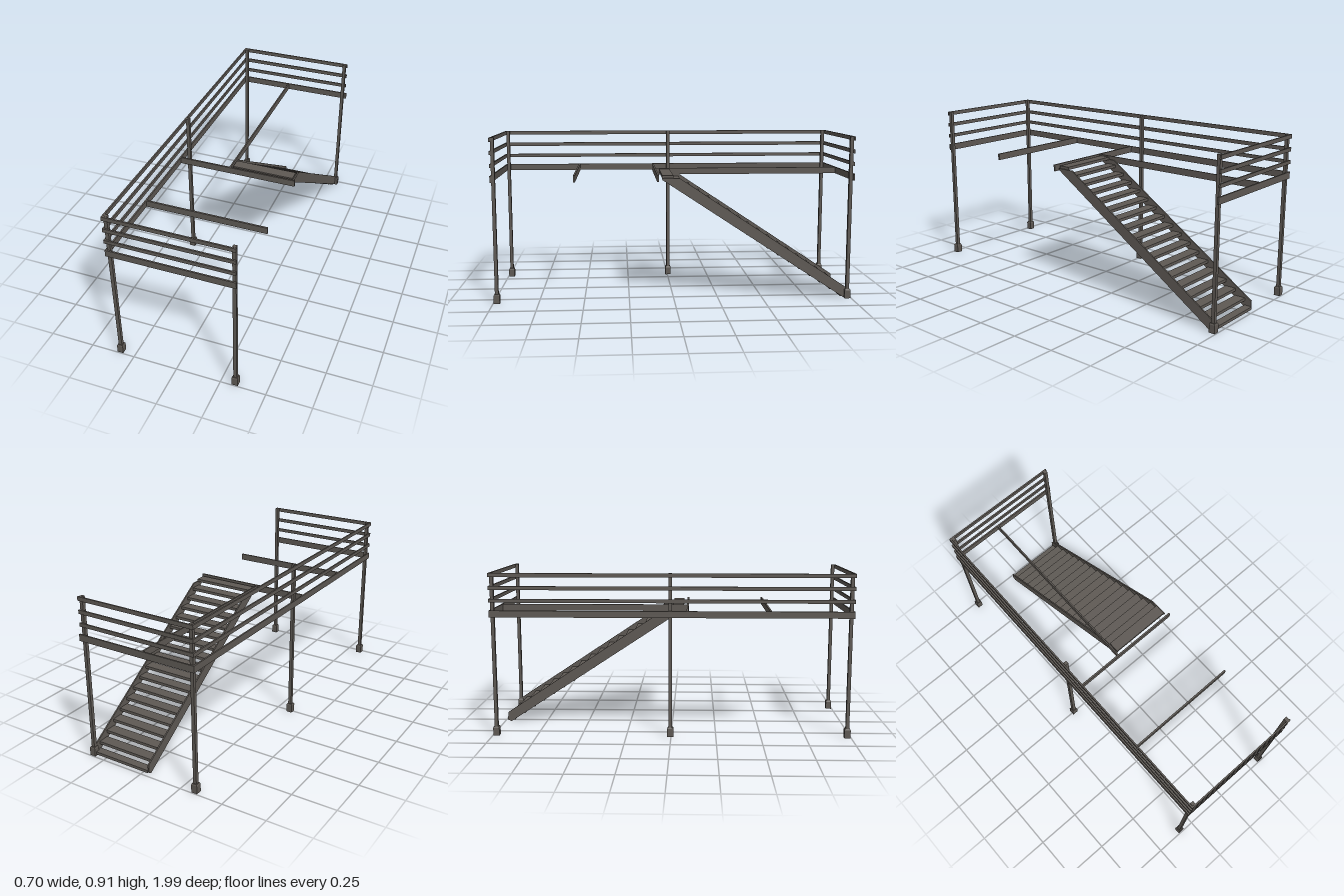
import * as THREE from 'three';

export function createModel() {
  const model = new THREE.Group();
  const steel = new THREE.MeshStandardMaterial({ color: 0x5e5954 });
  steel.name = 'weathered steel';

  const add = (name, geometry, parent = model) => {
    const mesh = new THREE.Mesh(geometry, steel);
    mesh.name = name;
    parent.add(mesh);
    return mesh;
  };
  // Box given by its lower and upper limits on each axis
  const bar = (name, x0, x1, y0, y1, z0, z1, parent) =>
    add(name, new THREE.BoxGeometry(x1 - x0, y1 - y0, z1 - z0), parent)
      .position.set((x0 + x1) / 2, (y0 + y1) / 2, (z0 + z1) / 2);

  // Posts on square feet with a chamfered top
  const posts = [[-0.333, 0.979], [-0.333, -0.004], [-0.333, -0.979], [0.328, 0.979], [0.328, -0.979]];
  for (const [x, z] of posts) {
    const post = new THREE.Group();
    post.name = 'post';
    post.position.set(x, 0, z);
    model.add(post);
    bar('postShaft', -0.0095, 0.0095, 0.045, 0.912, -0.0095, 0.0095, post);
    bar('postFoot', -0.017, 0.017, 0, 0.045, -0.017, 0.017, post);
    const cap = new THREE.CylinderGeometry(0.0135 * Math.SQRT2, 0.017 * Math.SQRT2, 0.007, 4).rotateY(Math.PI / 4).toNonIndexed();
    cap.computeVertexNormals();
    add('footCap', cap, post).position.y = 0.0485;
  }

  // Guard rails and floor beams around three sides
  const levels = [[0.669, 0.706, 'edgeBeam'], [0.75, 0.77, 'lowerRail'], [0.819, 0.84, 'middleRail'], [0.889, 0.911, 'topRail']];
  for (const [y0, y1, name] of levels) {
    const right = 0.341;
    bar(name + 'Side', -0.352, -0.3435, y0, y1, -0.997, 0.997);
    bar(name + 'Front', -0.3435, right, y0, y1, 0.9885, 0.997);
    bar(name + 'Back', -0.3435, name === 'edgeBeam' ? 0.352 : right + 0.003, y0, y1, -0.997, -0.9885);
  }

  // Inner floor beams
  for (const z of [0.09, 0.545]) bar('crossBeam', -0.3435, 0.341, 0.669, 0.706, z - 0.005, z + 0.005);
  bar('stairwellBeam', -0.048, -0.04, 0.669, 0.706, -0.9885, 0.085);

  // Stair stringers, drawn as a side profile and extruded across x
  const profile = new THREE.Shape(
    [[-0.963, 0], [0.064, 0.676], [0.07, 0.686], [-0.03, 0.686], [-0.98, 0.055], [-0.98, 0.01]]
      .map(([z, y]) => new THREE.Vector2(-z, y)));
  for (const x of [-0.04, 0.32]) {
    const stringer = new THREE.ExtrudeGeometry(profile, { depth: 0.008, bevelEnabled: false });
    add('stairStringer', stringer.rotateY(Math.PI / 2)).position.x = x;
  }

  // Treads
  for (let i = 0; i < 18; i++) {
    const y = 0.016 + i * 0.0398;
    const end = Math.min(-0.94 + i * 0.0597, 0.066);
    bar('stairTread', -0.032, 0.32, y - 0.008, y + 0.008, Math.max(end - 0.062, -0.985), end);
  }

  return model;
}
